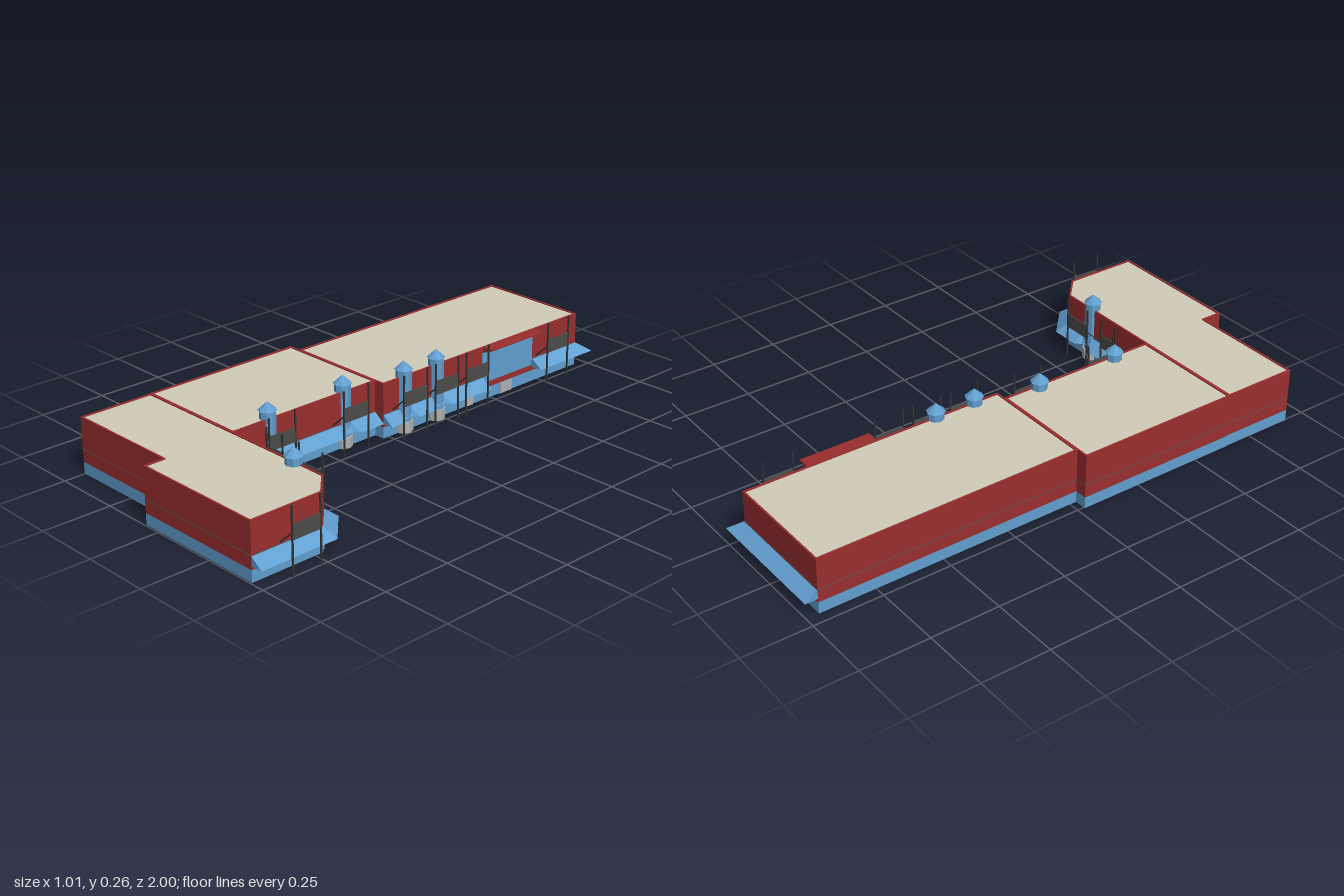
import * as THREE from 'three';

const mat = (color) => new THREE.MeshStandardMaterial({ color, side: THREE.DoubleSide, flatShading: true });
const RED = mat(0x9b2e2e), BLUE = mat(0x629fd0), ROOF = mat(0xd3ccb8);
const DARK = mat(0x333636), PANEL = mat(0x4c4d4b), GREY = mat(0xb0b0b0), STRIPE = mat(0x6e4a4a);

// Footprints of the three wings as [x, z]
const WINGS = {
  rearWing: [[-0.46, -0.955], [-0.03, -0.955], [-0.03, 0.025], [-0.46, 0.025]],
  middleWing: [[-0.505, 0.025], [-0.07, 0.025], [-0.07, 0.64], [-0.505, 0.64]],
  frontWing: [[-0.503, 0.64], [0.36, 0.64], [0.445, 0.72], [0.445, 0.995], [-0.065, 0.995], [-0.065, 0.92], [-0.503, 0.92]],
};
const OUT = 0.055; // distance of posts from the wall

function add(parent, name, geometry, material, x = 0, y = 0, z = 0) {
  const mesh = new THREE.Mesh(geometry, material);
  mesh.name = name;
  mesh.position.set(x, y, z);
  parent.add(mesh);
  return mesh;
}

// Offset a footprint inward by t (outward if negative)
function inset(points, t) {
  const n = points.length;
  const normal = (a, b) => {
    const l = Math.hypot(b[0] - a[0], b[1] - a[1]);
    return [-(b[1] - a[1]) / l, (b[0] - a[0]) / l];
  };
  return points.map((p, i) => {
    const a = normal(points[(i + n - 1) % n], p), b = normal(p, points[(i + 1) % n]);
    const k = t / (1 + a[0] * b[0] + a[1] * b[1]);
    return [p[0] + (a[0] + b[0]) * k, p[1] + (a[1] + b[1]) * k];
  });
}

// Upright prism from a footprint, with an optional hole
function prism(outer, inner, y0, y1) {
  const flat = (pts) => pts.map(([x, z]) => new THREE.Vector2(x, -z));
  const shape = new THREE.Shape(flat(outer));
  if (inner) shape.holes.push(new THREE.Path(flat(inner)));
  return new THREE.ExtrudeGeometry(shape, { depth: y1 - y0, bevelEnabled: false })
    .rotateX(-Math.PI / 2).translate(0, y0, 0);
}

// Sloping canopy from stations [wallX, wallZ, edgeX, edgeZ]
function canopy(stations) {
  const pos = [], index = [];
  for (const [wx, wz, ox, oz] of stations) pos.push(wx, 0.088, wz, ox, 0.055, oz, wx, 0.055, wz);
  for (let i = 0; i < stations.length - 1; i++) {
    for (let k = 0; k < 3; k++) {
      const a = i * 3 + k, b = i * 3 + (k + 1) % 3;
      index.push(a, a + 3, b, b, a + 3, b + 3);
    }
  }
  const e = (stations.length - 1) * 3;
  index.push(0, 1, 2, e, e + 2, e + 1);
  const g = new THREE.BufferGeometry();
  g.setAttribute('position', new THREE.Float32BufferAttribute(pos, 3));
  g.setIndex(index);
  const flat = g.toNonIndexed();
  flat.computeVertexNormals();
  return flat;
}

// Canopy stations that pinch in around a tower on a wall facing +x
const pinch = (wall, c) => [[-0.036, 0.043], [-0.016, 0.022], [0.016, 0.022], [0.036, 0.043]]
  .map(([d, o]) => [wall, c + d, wall + o, c + d]);

function beam(parent, name, from, to) {
  const a = new THREE.Vector3(...from), b = new THREE.Vector3(...to);
  const m = add(parent, name, new THREE.BoxGeometry(0.004, a.distanceTo(b), 0.004), DARK);
  m.position.copy(a).add(b).multiplyScalar(0.5);
  m.quaternion.setFromUnitVectors(new THREE.Vector3(0, 1, 0), b.sub(a).normalize());
}

// Screen on two braced posts; local +x points away from the wall
function screen(parent, x, z, width, turn = 0) {
  const g = new THREE.Group();
  g.name = 'windowScreen';
  g.position.set(x, 0, z);
  g.rotation.y = turn;
  for (const s of [-1, 1]) {
    const pz = s * width / 2;
    add(g, 'post', new THREE.BoxGeometry(0.005, 0.235, 0.005), DARK, OUT, 0.1175, pz);
    beam(g, 'brace', [0, 0.095, pz], [OUT, 0.145, pz]);
  }
  add(g, 'screenPanel', new THREE.BoxGeometry(0.003, 0.052, width), PANEL, OUT, 0.146, 0);
  parent.add(g);
}

function tower(parent, x, z) {
  const g = new THREE.Group();
  g.name = 'tower';
  g.position.set(x, 0, z);
  add(g, 'towerBase', new THREE.CylinderGeometry(0.034, 0.034, 0.04, 8), GREY, 0, 0.02, 0);
  add(g, 'towerShaft', new THREE.CylinderGeometry(0.028, 0.028, 0.188, 8), BLUE, 0, 0.134, 0);
  add(g, 'towerCap', new THREE.ConeGeometry(0.033, 0.03, 8), BLUE, 0, 0.243, 0);
  parent.add(g);
}

export function createModel() {
  const model = new THREE.Group();
  model.name = 'building';

  // Hollow wings: base band, walls, roof slab
  for (const [name, pts] of Object.entries(WINGS)) {
    const wing = new THREE.Group();
    wing.name = name;
    const inner = inset(pts, 0.006);
    add(wing, 'baseBand', prism(pts, inner, 0, 0.042), BLUE);
    add(wing, 'walls', prism(pts, inner, 0.042, 0.203), RED);
    add(wing, 'wallStripe', prism(inset(pts, -0.001), pts, 0.087, 0.091), STRIPE);
    add(wing, 'roof', prism(inner, null, 0.193, 0.199), ROOF);
    model.add(wing);
  }

  // Canopies along the entrance side and the rear
  add(model, 'rearCanopy', canopy([
    [-0.46, -0.955, -0.46, -1], [-0.03, -0.955, 0.015, -1], [-0.03, -0.72, 0.015, -0.72]]), BLUE);
  add(model, 'rearWingCanopy', canopy([
    [-0.03, -0.46, 0.015, -0.46], ...pinch(-0.03, -0.23), ...pinch(-0.03, -0.075), [-0.03, 0.025, 0.015, 0.025]]), BLUE);
  add(model, 'middleAndFrontCanopy', canopy([
    [-0.07, 0.025, -0.027, 0.025], ...pinch(-0.07, 0.16), ...pinch(-0.07, 0.485), [-0.07, 0.64, -0.027, 0.597],
    [0.199, 0.64, 0.199, 0.597], [0.219, 0.64, 0.219, 0.618], [0.251, 0.64, 0.251, 0.618], [0.271, 0.64, 0.271, 0.597],
    [0.36, 0.64, 0.378, 0.597], [0.445, 0.72, 0.49, 0.702], [0.445, 0.995, 0.49, 0.995]]), BLUE);

  // Towers
  for (const [x, z] of [[-0.035, -0.23], [-0.035, -0.075], [-0.085, 0.16], [-0.085, 0.485], [0.235, 0.65]]) tower(model, x, z);

  // Window screens
  for (const z of [-0.795, -0.375, -0.225, -0.075]) screen(model, -0.03, z, 0.11);
  for (const z of [0.162, 0.483]) screen(model, -0.07, z, 0.11);
  screen(model, 0.445, 0.83, 0.11);
  screen(model, 0.068, 0.64, 0.076, Math.PI / 2);
  screen(model, 0.24, 0.64, 0.11, Math.PI / 2);

  // Glazed entrance with a wedge-shaped hood
  const entrance = new THREE.Group();
  entrance.name = 'entrance';
  for (let r = 0; r < 2; r++) {
    for (let c = 0; c < 5; c++) {
      add(entrance, 'glassPane', new THREE.BoxGeometry(0.004, 0.0575, 0.052), BLUE,
        -0.029, 0.094 + r * 0.0575, -0.689 + c * 0.052);
    }
  }
  const hood = new THREE.Shape([[-0.03, 0.182], [0.015, 0.199], [0.015, 0.203], [-0.03, 0.203]].map((p) => new THREE.Vector2(...p)));
  add(entrance, 'hood', new THREE.ExtrudeGeometry(hood, { depth: 0.26, bevelEnabled: false }), RED, 0, 0, -0.72);
  model.add(entrance);

  // Doors
  add(model, 'entranceDoor', new THREE.BoxGeometry(0.006, 0.04, 0.06), GREY, -0.029, 0.02, -0.58);
  add(model, 'sideDoor', new THREE.BoxGeometry(0.006, 0.04, 0.04), GREY, -0.029, 0.02, -0.39);
  add(model, 'cornerDoor', new THREE.BoxGeometry(0.006, 0.04, 0.075), GREY, 0.403, 0.02, 0.68)
    .rotation.y = Math.atan2(0.085, 0.08);

  return model;
}
